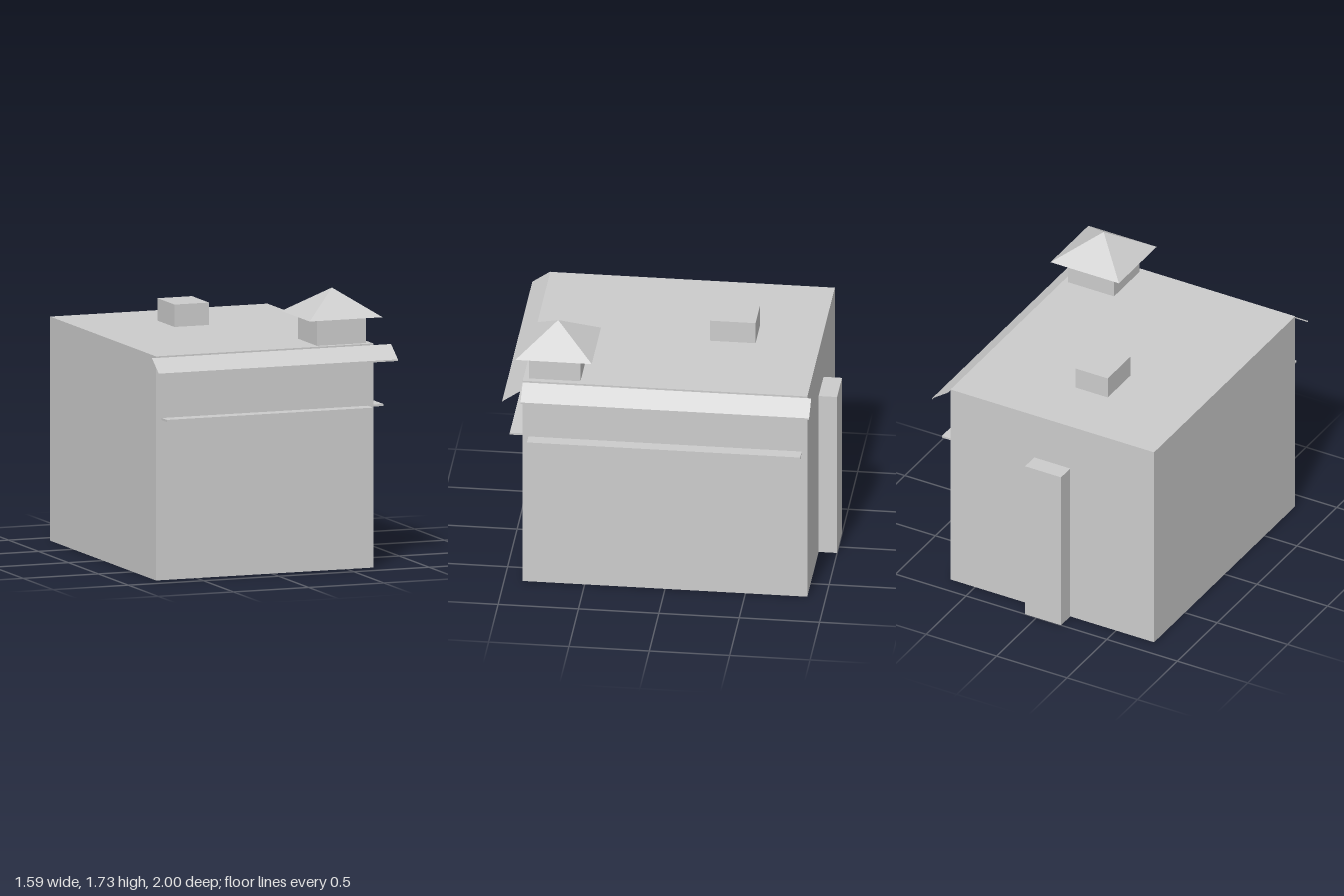
import * as THREE from 'three';

export function createModel() {
  const group = new THREE.Group();
  const grey = new THREE.MeshStandardMaterial({ color: 0xcccccc, side: THREE.DoubleSide });
  grey.name = 'pale grey';

  function add(name, geometry) {
    const mesh = new THREE.Mesh(geometry, grey);
    mesh.name = name;
    group.add(mesh);
    return mesh;
  }

  // Box given by its limits; an open box has no bottom face
  function box(name, [x0, x1], [y0, y1], [z0, z1], open = false) {
    const g = new THREE.BoxGeometry(x1 - x0, y1 - y0, z1 - z0);
    g.translate((x0 + x1) / 2, (y0 + y1) / 2, (z0 + z1) / 2);
    if (open) {
      g.setIndex([...g.index.array].filter((_, i) => i < 18 || i > 23));
      g.clearGroups();
    }
    return add(name, g);
  }

  // Sheet awning: a slope with a thin vertical lip, from point a to point b along the wall
  function awning(name, a, b, out) {
    const profile = [[0, 1.39], [0.115, 1.31], [0.115, 1.3]];
    const at = (end, [d, y]) => [end[0] + out[0] * d, y, end[1] + out[1] * d];
    const positions = [];
    for (let i = 0; i < profile.length - 1; i++) {
      const p = at(a, profile[i]), q = at(a, profile[i + 1]);
      const r = at(b, profile[i + 1]), s = at(b, profile[i]);
      positions.push(...p, ...q, ...r, ...p, ...r, ...s);
    }
    const g = new THREE.BufferGeometry();
    g.setAttribute('position', new THREE.Float32BufferAttribute(positions, 3));
    g.computeVertexNormals();
    return add(name, g);
  }

  // Main block, open underneath
  box('building', [-0.77, 0.675], [0, 1.4], [-0.885, 0.885], true);

  // Rear shaft and roof box
  box('rearShaft', [-0.175, 0.08], [0, 1.09], [-1, -0.885], true);
  box('roofBox', [-0.215, 0.015], [1.4, 1.54], [-0.485, -0.2], true);

  // Awnings on the front and the left side
  awning('frontAwning', [-0.797, 0.885], [0.793, 0.885], [0, 1]);
  awning('sideAwning', [0.678, 0.885], [0.678, -0.91], [1, 0]);

  // Thin ledges below the awnings
  box('frontLedge', [-0.732, 0.64], [1, 1.013], [0.885, 0.97]);
  box('sideLedge', [0.675, 0.755], [1, 1.013], [-0.85, 0.85]);

  // Roof turret with a four-sided cap
  box('turret', [0.315, 0.64], [1.4, 1.567], [0.53, 0.85], true);
  let cap = new THREE.ConeGeometry(Math.SQRT1_2, 1, 4, 1);
  cap.rotateY(Math.PI / 4);
  cap = cap.toNonIndexed();
  cap.scale(0.485, 0.166, 0.475);
  cap.translate(0.478, 1.65, 0.688);
  cap.computeVertexNormals();
  add('turretRoof', cap);

  return group;
}
